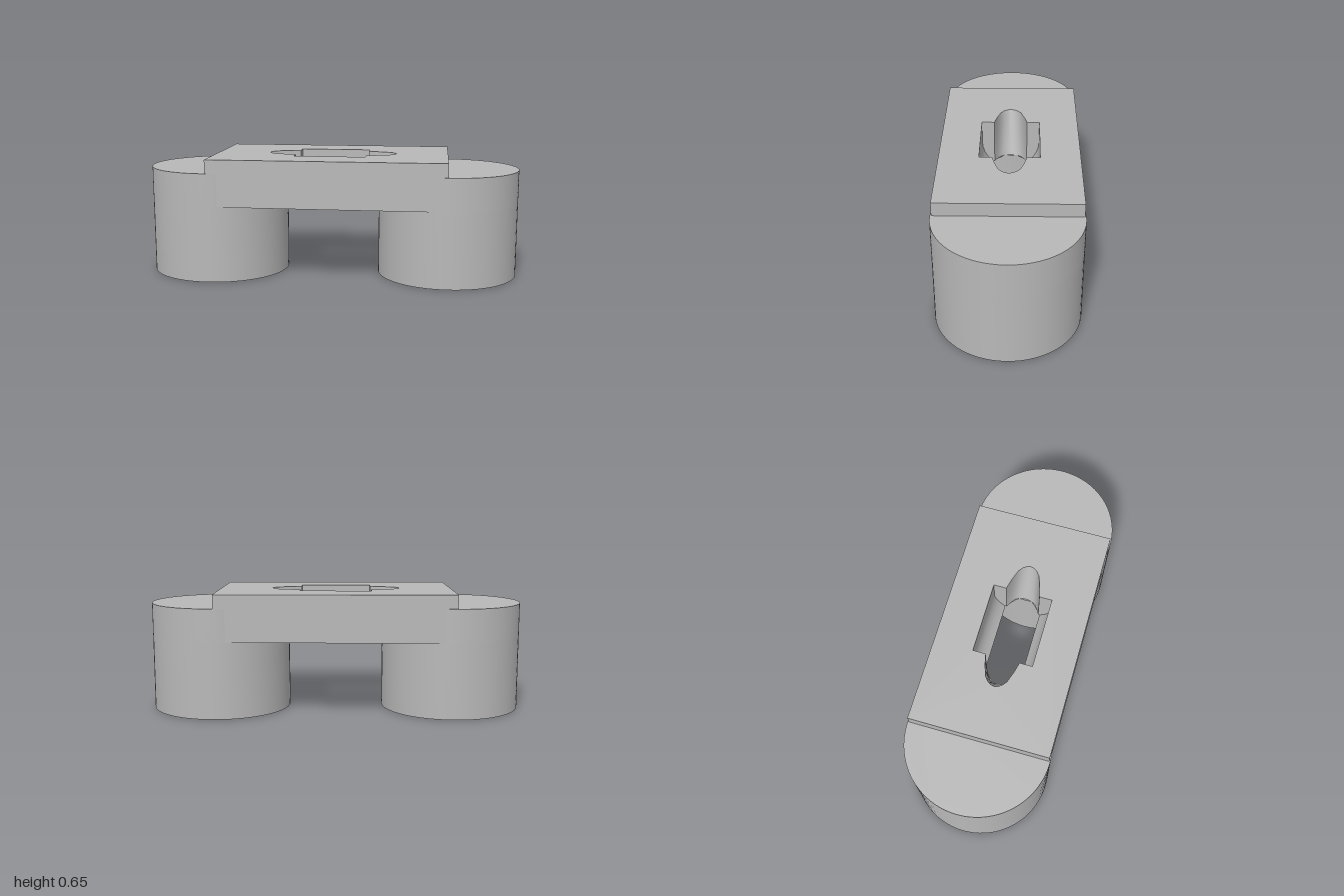
import * as THREE from 'three';
import { toCreasedNormals } from 'three/addons/utils/BufferGeometryUtils.js';

const R = 0.373, POST_X = 0.627, POST_TOP = 0.575;
const DECK_BOTTOM = 0.4, DECK_TOP = 0.647;
const crease = (g, a = 0.5) => toCreasedNormals(g, a);

// Flat outline in x/z, raised from y0 to y1
function raise(shape, y0, y1, steps = 1) {
  const g = new THREE.ExtrudeGeometry(shape, { depth: y1 - y0, steps, bevelEnabled: false, curveSegments: 40 });
  return g.rotateX(-Math.PI / 2).translate(0, y0, 0);
}

// Lower post with a stepped blind bore in its foot
function postGeometry() {
  const profile = [
    [0, 0.36], [0.125, 0.36], [0.125, 0.125], [0.204, 0.125], [0.204, 0],
    [R, 0], [R, DECK_BOTTOM], [0, DECK_BOTTOM],
  ].map(([x, y]) => new THREE.Vector2(x, y));
  return crease(new THREE.LatheGeometry(profile, 72));
}

// Upper post: the part of the disc outside the slot
function shoulderGeometry() {
  const a = Math.acos(-0.127 / R);
  const s = new THREE.Shape();
  s.absarc(0, 0, R, -a, a, false);
  s.closePath();
  return crease(raise(s, DECK_BOTTOM, POST_TOP));
}

// Bridge with a slot: wide in the middle, tapered at both ends, narrowing downwards
function bridgeGeometry() {
  const s = new THREE.Shape();
  s.moveTo(-0.623, -0.367).lineTo(0.623, -0.367).lineTo(0.623, 0.367).lineTo(-0.623, 0.367).closePath();
  const quarter = [[0.345, 0], [0.341, 0.018], [0.328, 0.038], [0.305, 0.056], [0.25, 0.075], [0.19, 0.09], [0.19, 0.158]];
  const half = [...quarter, ...quarter.slice().reverse().map(([x, z]) => [-x, z])];
  const outline = [...half, ...half.slice(1, -1).reverse().map(([x, z]) => [x, -z])];
  s.holes.push(new THREE.Path(outline.map(([x, z]) => new THREE.Vector2(x, z))));
  const g = raise(s, DECK_BOTTOM, DECK_TOP, 8);
  const p = g.attributes.position;
  for (let i = 0; i < p.count; i++) {
    const x = p.getX(i), y = p.getY(i), z = p.getZ(i);
    if (Math.abs(x) > 0.4) continue;
    // sloping slot ends
    const t = (DECK_TOP - y) / (DECK_TOP - DECK_BOTTOM);
    const over = Math.max(0, Math.abs(x) - 0.19);
    p.setX(i, Math.sign(x) * (Math.abs(x) - over * 0.535 * t));
    // trough-shaped long sides
    if (Math.abs(z) > 0.1) {
      const drop = Math.max(0, 0.524 - y);
      p.setZ(i, Math.sign(z) * Math.sqrt(0.158 ** 2 - drop ** 2));
    }
  }
  g.computeVertexNormals();
  return crease(g);
}

export function createModel() {
  const grey = new THREE.MeshStandardMaterial({ color: 0xb8b8b8 });
  grey.name = 'grey';
  const model = new THREE.Group();
  model.name = 'bridgeBracket';
  const add = (geometry, name, parent = model) => {
    const m = new THREE.Mesh(geometry, grey);
    m.name = name;
    parent.add(m);
    return m;
  };

  add(bridgeGeometry(), 'bridge');

  const post = postGeometry(), shoulder = shoulderGeometry();
  for (const side of [1, -1]) {
    const g = new THREE.Group();
    g.name = side > 0 ? 'leftPost' : 'rightPost';
    g.position.x = side * POST_X;
    g.rotation.y = side > 0 ? 0 : Math.PI;
    add(post, 'postLower', g);
    add(shoulder, 'postShoulder', g);
    model.add(g);
  }
  return model;
}
